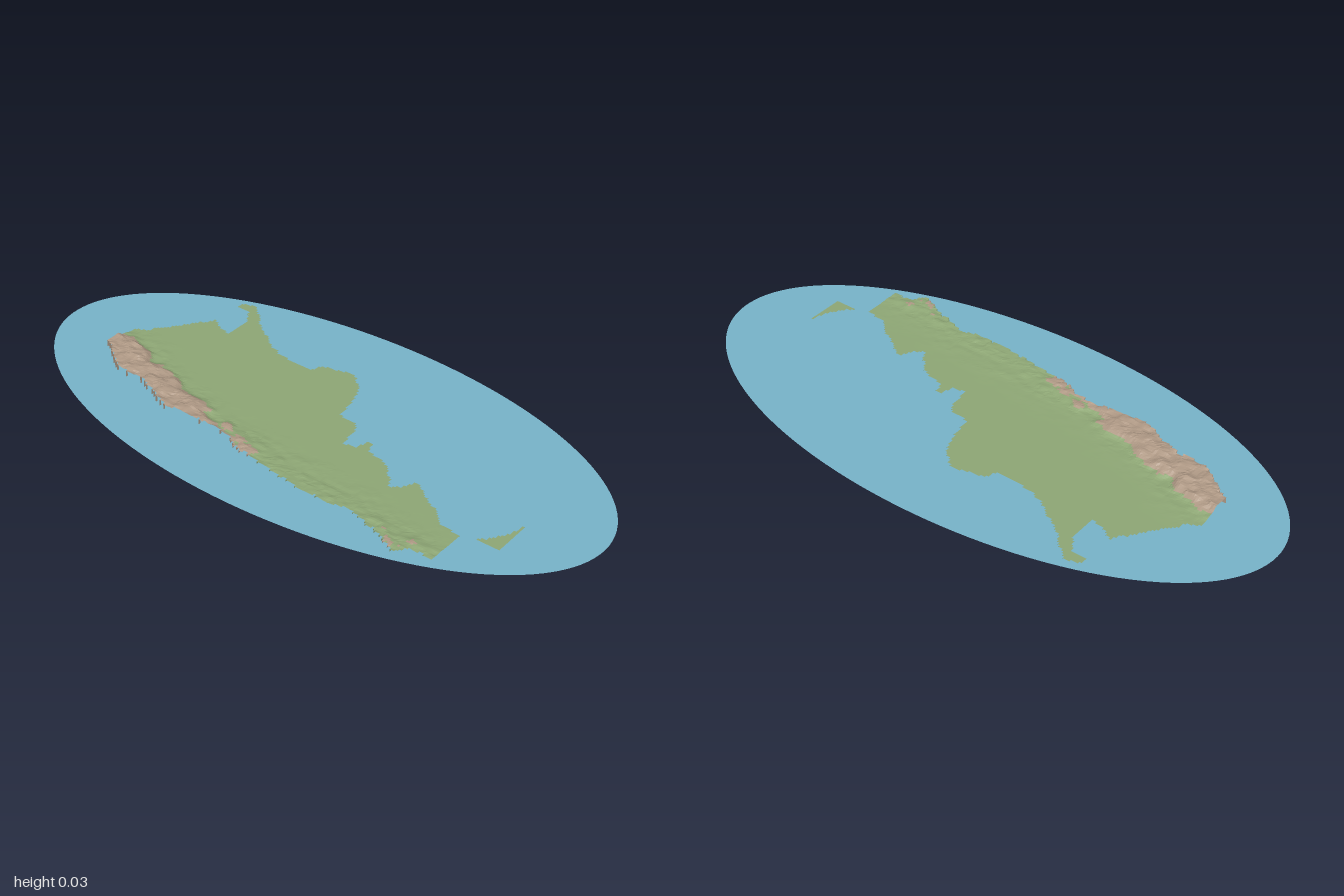
import * as THREE from 'three';

const CELL = 0.0075;

// Coast and border as [z, x] pairs, north to south
const WEST = [[-0.77, -0.1], [-0.74, -0.115], [-0.7, -0.145], [-0.65, -0.18], [-0.6, -0.19], [-0.55, -0.19],
  [-0.5, -0.2], [-0.45, -0.225], [-0.4, -0.245], [-0.3, -0.25], [-0.22, -0.235], [-0.13, -0.25], [-0.08, -0.275],
  [0, -0.28], [0.08, -0.3], [0.2, -0.31], [0.3, -0.31], [0.35, -0.29], [0.4, -0.31], [0.46, -0.33],
  [0.51, -0.355], [0.56, -0.37], [0.585, -0.335], [0.655, -0.33]];
const EAST = [[-0.77, 0.025], [-0.74, 0.04], [-0.7, 0.09], [-0.65, 0.16], [-0.6, 0.225], [-0.55, 0.2], [-0.515, 0.19],
  [-0.51, 0.28], [-0.46, 0.29], [-0.4, 0.25], [-0.36, 0.22], [-0.3, 0.2], [-0.18, 0.19], [-0.155, 0.23],
  [-0.1, 0.245], [-0.05, 0.25], [0, 0.21], [0.03, 0.13], [0.045, 0.05], [0.1, 0.05], [0.125, 0.03],
  [0.14, -0.05], [0.185, -0.05], [0.19, 0], [0.21, 0], [0.22, -0.045], [0.27, -0.05], [0.3, -0.06],
  [0.35, -0.11], [0.37, -0.145], [0.4, -0.12], [0.42, -0.08], [0.46, -0.09], [0.5, -0.13], [0.55, -0.15],
  [0.59, -0.19], [0.655, -0.2]];
// Eastern foot of the high range, and height of the range
const RANGE = [[-0.77, -0.03], [-0.7, -0.045], [-0.6, -0.075], [-0.5, -0.125], [-0.4, -0.16], [-0.3, -0.19],
  [-0.2, -0.21], [-0.03, -0.235], [0.1, -0.25], [0.4, -0.285], [0.66, -0.31]];
const HEIGHT = [[-0.77, 0.021], [-0.5, 0.02], [-0.3, 0.016], [-0.1, 0.009], [0, 0.005], [0.1, 0.003],
  [0.35, 0.003], [0.5, 0.005], [0.56, 0.006], [0.66, 0.001]];
// North-eastern arm and southern island as [x, z] outlines
const ARM = [[0.18, -0.5], [0.275, -0.51], [0.335, -0.55], [0.33, -0.6], [0.365, -0.59], [0.37, -0.55],
  [0.33, -0.5], [0.285, -0.46], [0.18, -0.4]];
const ISLAND = [[-0.185, 0.695], [-0.165, 0.72], [-0.135, 0.74], [-0.115, 0.755], [-0.05, 0.775], [-0.18, 0.78]];

function lookup(table, z) {
  for (let i = 1; i < table.length; i++) {
    const [z0, a] = table[i - 1], [z1, b] = table[i];
    if (z <= z1) return a + (b - a) * Math.max(0, (z - z0) / (z1 - z0));
  }
  return table[table.length - 1][1];
}

function inside(poly, x, z) {
  let hit = false;
  for (let i = 0, j = poly.length - 1; i < poly.length; j = i++) {
    const [xi, zi] = poly[i], [xj, zj] = poly[j];
    if ((zi > z) !== (zj > z) && x < xi + (xj - xi) * (z - zi) / (zj - zi)) hit = !hit;
  }
  return hit;
}

const hash = (i, j) => { const s = Math.sin(i * 127.1 + j * 311.7) * 43758.5453; return s - Math.floor(s); };

function noise(x, z) {
  const i = Math.floor(x), j = Math.floor(z), u = x - i, v = z - j;
  const s = u * u * (3 - 2 * u), t = v * v * (3 - 2 * v);
  return (hash(i, j) * (1 - s) + hash(i + 1, j) * s) * (1 - t) + (hash(i, j + 1) * (1 - s) + hash(i + 1, j + 1) * s) * t;
}

function isLand(x, z) {
  if (inside(ISLAND, x, z) || inside(ARM, x, z)) return true;
  if (z < -0.77 || z > 0.655) return false;
  const ragged = (noise(x * 40, z * 60) - 0.5) * 0.012;
  return x > lookup(WEST, z) + ragged && x < lookup(EAST, z) + ragged;
}

function elevation(x, z) {
  if (z > 0.67) return 0.0035;
  const d = x - lookup(RANGE, z) + (noise(x * 30, z * 22) - 0.5) * 0.05;
  const rough = 0.7 * noise(x * 55, z * 40) + 0.3 * noise(x * 120, z * 110);
  const high = 1 - THREE.MathUtils.smoothstep(d, -0.025, 0.03);
  const foot = 1 - THREE.MathUtils.smoothstep(d, 0, 0.16);
  return 0.0035 + lookup(HEIGHT, z) * high * (0.72 + 0.4 * rough) + 0.0045 * foot * foot * rough;
}

function createLand(materials) {
  const buckets = [[], []]; // lowland, mountain
  const wall = (out, a, b) => {
    const c = [a[0], 0.002, a[2]], d = [b[0], 0.002, b[2]];
    out.push(...a, ...b, ...c, ...b, ...d, ...c);
  };
  for (let iz = -105; iz < 106; iz++) {
    for (let ix = -52; ix < 52; ix++) {
      const x = ix * CELL, z = iz * CELL, h = CELL / 2;
      if (!isLand(x, z)) continue;
      const corner = (sx, sz) => [x + sx * h, elevation(x + sx * h, z + sz * h), z + sz * h];
      const nw = corner(-1, -1), ne = corner(1, -1), sw = corner(-1, 1), se = corner(1, 1);
      const out = buckets[elevation(x, z) > 0.0115 ? 1 : 0];
      out.push(...nw, ...sw, ...se, ...nw, ...se, ...ne);
      // Cliffs along the edge of the land
      if (!isLand(x - CELL, z)) wall(out, nw, sw);
      if (!isLand(x + CELL, z)) wall(out, se, ne);
      if (!isLand(x, z - CELL)) wall(out, ne, nw);
      if (!isLand(x, z + CELL)) wall(out, sw, se);
    }
  }
  const land = new THREE.Group();
  land.name = 'land';
  ['lowland', 'mountainRange'].forEach((name, i) => {
    const geo = new THREE.BufferGeometry();
    geo.setAttribute('position', new THREE.Float32BufferAttribute(buckets[i], 3));
    geo.computeVertexNormals();
    const mesh = new THREE.Mesh(geo, materials[i]);
    mesh.name = name;
    land.add(mesh);
  });
  return land;
}

export function createModel() {
  const material = (name, color, side = THREE.FrontSide) => {
    const m = new THREE.MeshStandardMaterial({ color, side });
    m.name = name;
    return m;
  };
  const group = new THREE.Group();
  group.name = 'reliefMap';

  // Flat oval sea
  const seaGeo = new THREE.CircleGeometry(1, 128).rotateX(-Math.PI / 2).scale(0.48, 1, 1);
  const sea = new THREE.Mesh(seaGeo, material('seaBlue', 0x78b4ca, THREE.DoubleSide));
  sea.name = 'sea';
  group.add(sea);

  group.add(createLand([material('lowlandGreen', 0x8fa876), material('mountainBrown', 0xb09a86)]));
  return group;
}
